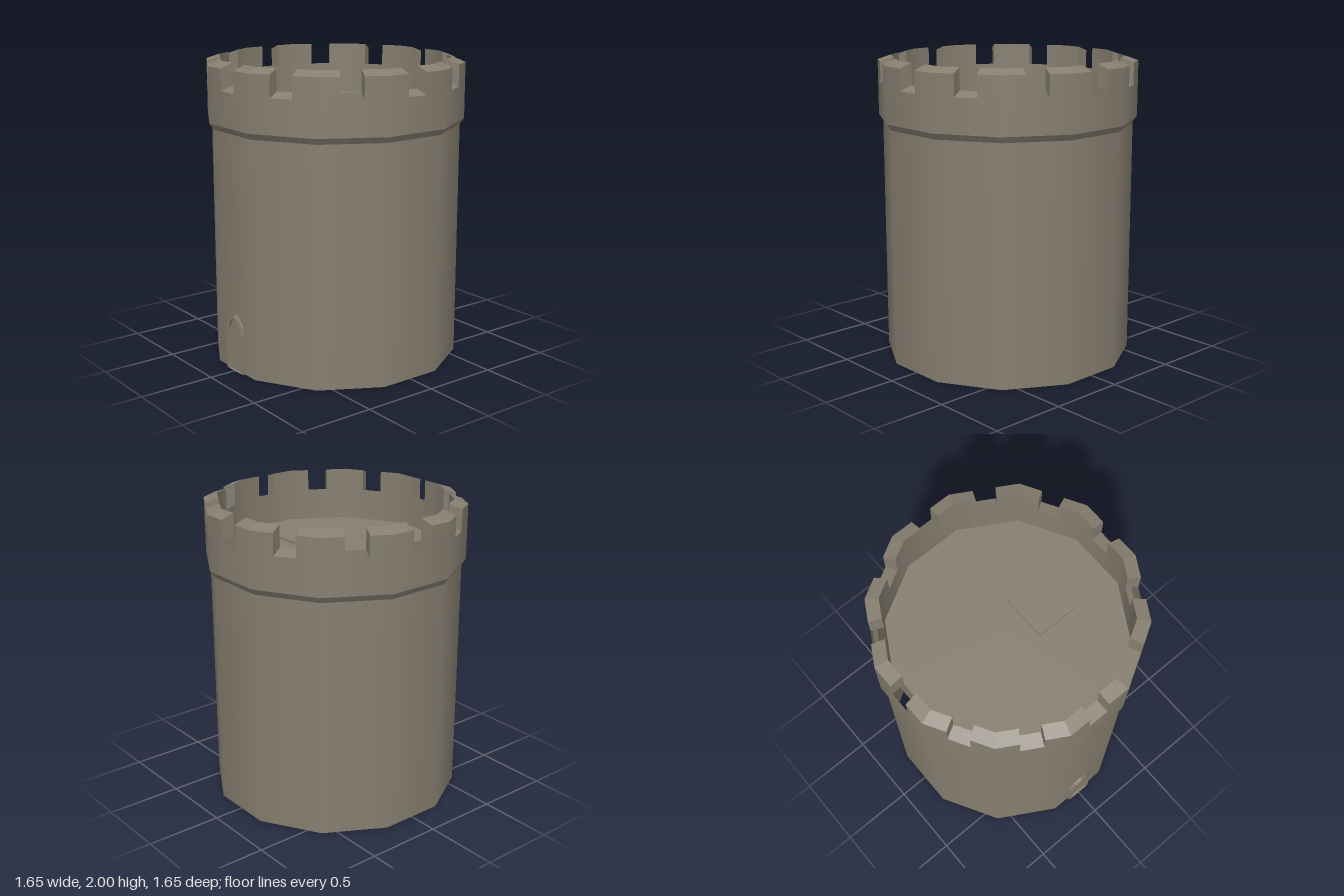
import * as THREE from 'three';

const SIDES = 12, STEP = Math.PI / 6, TAN = Math.tan(STEP / 2), COS = Math.cos(STEP / 2);
const OUT = 0.826, IN = 0.74;            // parapet distances from the axis to its flats
const GAP_OUT = 0.072, GAP_IN = 0.066;   // half widths of the crenels
const OPEN_GAPS = [2, 5, 6, 8, 9];       // crenels that have no sill

// Collects quads; radial = 1 / -1 gives rounded shading, 0 gives flat shading
function quadBuilder() {
  const pos = [], nor = [];
  return {
    quad(corners, radial = 0) {
      const [a, b, c] = corners;
      const flat = b.clone().sub(a).cross(c.clone().sub(a)).normalize();
      for (const i of [0, 1, 2, 0, 2, 3]) {
        const p = corners[i];
        const n = radial ? new THREE.Vector3(p.x, 0, p.z).normalize().multiplyScalar(radial) : flat;
        pos.push(p.x, p.y, p.z);
        nor.push(n.x, n.y, n.z);
      }
    },
    build() {
      const g = new THREE.BufferGeometry();
      g.setAttribute('position', new THREE.Float32BufferAttribute(pos, 3));
      g.setAttribute('normal', new THREE.Float32BufferAttribute(nor, 3));
      return g;
    },
  };
}

function parapetGeometry() {
  const q = quadBuilder();
  for (let k = 0; k < SIDES; k++) {
    const at = (u, y, a) => new THREE.Vector3(u, y, a).applyAxisAngle(new THREE.Vector3(0, 1, 0), k * STEP);
    // one stretch of wall: outer face, inner face and sloping top
    const stretch = (o0, o1, i0, i1, yOut, yIn, top) => {
      q.quad([at(o0, 1.605, OUT), at(o1, 1.605, OUT), at(o1, yOut, OUT), at(o0, yOut, OUT)], 1);
      q.quad([at(i1, 1.65, IN), at(i0, 1.65, IN), at(i0, yIn, IN), at(i1, yIn, IN)], -1);
      if (top) q.quad([at(o0, yOut, OUT), at(o1, yOut, OUT), at(i1, yIn, IN), at(i0, yIn, IN)]);
    };
    stretch(-OUT * TAN, -GAP_OUT, -IN * TAN, -GAP_IN, 1.97, 2, true);
    stretch(-GAP_OUT, GAP_OUT, -GAP_IN, GAP_IN, 1.83, 1.86, !OPEN_GAPS.includes(k));
    stretch(GAP_OUT, OUT * TAN, GAP_IN, IN * TAN, 1.97, 2, true);
    // cheeks of the crenel
    for (const s of [-1, 1]) {
      const c = [at(s * GAP_OUT, 1.83, OUT), at(s * GAP_OUT, 1.97, OUT), at(s * GAP_IN, 2, IN), at(s * GAP_IN, 1.86, IN)];
      q.quad(s > 0 ? c : c.reverse());
    }
  }
  return q.build();
}

// Pointed arch outline, w = half width, h = height
function arch(w, h, Type = THREE.Shape) {
  const half = [[w, 0], [w, h * 0.71], [w * 0.88, h * 0.81], [w * 0.6, h * 0.92]];
  const pts = [...half, [0, h], ...half.slice().reverse().map(([x, y]) => [-x, y])];
  return new Type(pts.map(([x, y]) => new THREE.Vector2(x, y)));
}

export function createModel() {
  const tower = new THREE.Group();
  tower.name = 'tower';
  const stone = new THREE.MeshStandardMaterial({ color: 0x867e70, side: THREE.DoubleSide });
  stone.name = 'stone';
  const add = (name, geometry, x = 0, y = 0, z = 0, parent = tower) => {
    const mesh = new THREE.Mesh(geometry, stone);
    mesh.name = name;
    mesh.position.set(x, y, z);
    parent.add(mesh);
  };
  const ring = (top, bottom, h) =>
    new THREE.CylinderGeometry(top / COS, bottom / COS, h, SIDES, 1, true, STEP / 2);

  // shaft, open underneath, and the flare below the parapet
  add('shaft', ring(0.8, 0.8, 1.565), 0, 0.7825);
  add('flare', ring(OUT, 0.8, 0.04), 0, 1.585);
  add('parapet', parapetGeometry());

  // roof floor and its hatch
  add('roofFloor', new THREE.CircleGeometry(IN / COS, SIDES, STEP / 2).rotateX(-Math.PI / 2), 0, 1.65);
  add('hatch', new THREE.BoxGeometry(0.3, 0.015, 0.31), 0.28, 1.6575, 0.003);

  // door with a stepped pointed frame
  const door = new THREE.Group();
  door.name = 'door';
  tower.add(door);
  const frame = (w, h, depth) => {
    const s = arch(w, h);
    s.holes.push(arch(0.068, 0.36, THREE.Path));
    return new THREE.ExtrudeGeometry(s, { depth, bevelEnabled: false });
  };
  add('outerFrame', frame(0.095, 0.385, 0.014), 0, 0, 0.8, door);
  add('innerFrame', frame(0.083, 0.372, 0.02), 0, 0, 0.8, door);
  add('doorPanel', new THREE.ShapeGeometry(arch(0.068, 0.36)), 0, 0, 0.804, door);
  return tower;
}
